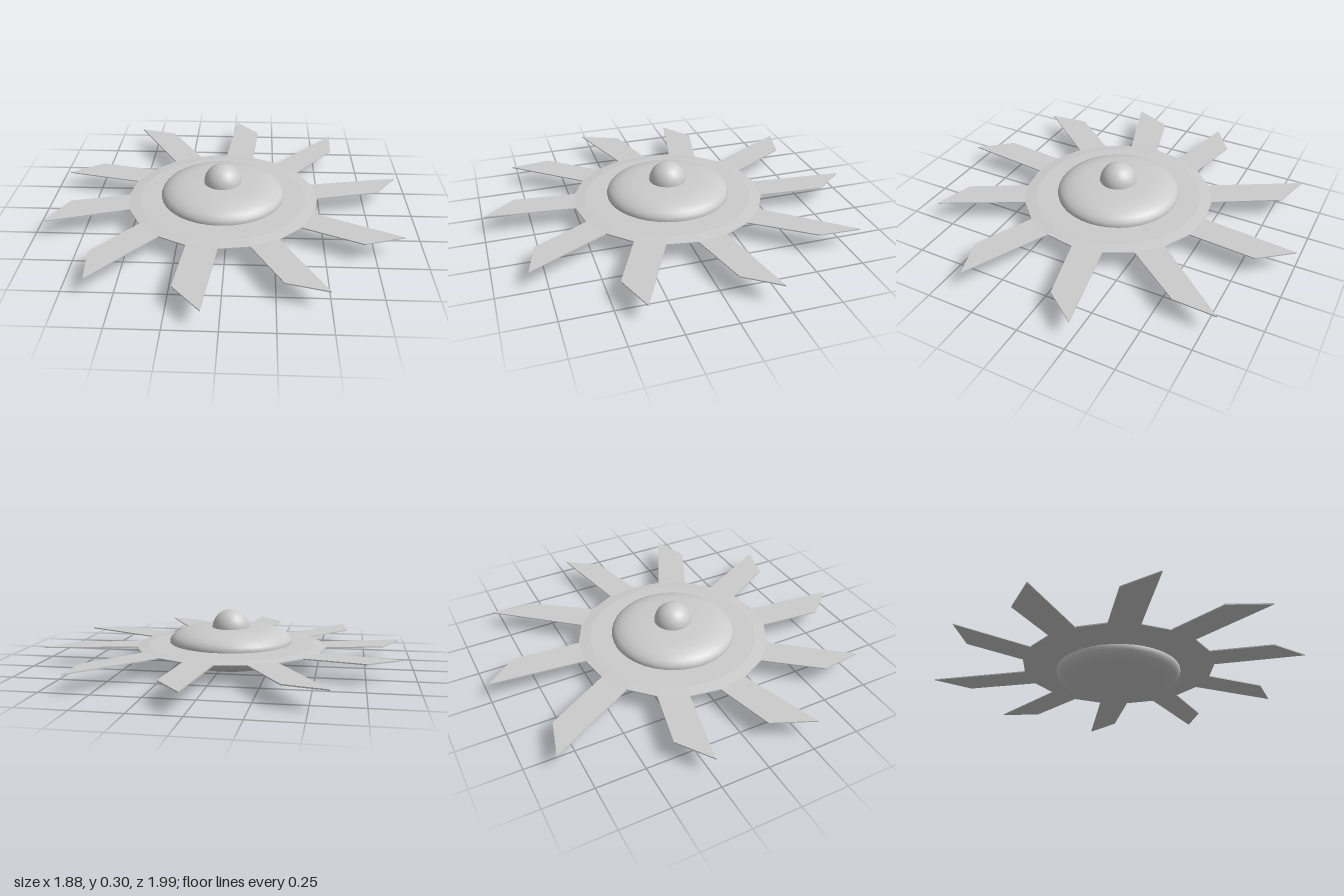
import * as THREE from 'three';
import { toCreasedNormals } from 'three/addons/utils/BufferGeometryUtils.js';

const CX = -0.03, CZ = 0.01, MID = 0.102, RIM = 0.51;
const grey = new THREE.MeshStandardMaterial({ color: 0xcccccc });
const flatGrey = new THREE.MeshStandardMaterial({ color: 0xcccccc, flatShading: true });

function add(group, name, geometry, material = grey) {
  const mesh = new THREE.Mesh(geometry, material);
  mesh.name = name;
  group.add(mesh);
  return mesh;
}

// Turned part; the profile runs from bottom to top as [radius, y]
function turned(profile, segments) {
  const points = profile.map(([r, y]) => new THREE.Vector2(r, y));
  return toCreasedNormals(new THREE.LatheGeometry(points, segments), 0.7);
}

// Outer corners of each blade: tip x, z, then heel x, z
const bladeEnds = [
  [0.02, -1, 0.155, -0.83], [0.61, -0.805, 0.6, -0.585],
  [0.935, -0.24, 0.81, -0.07], [0.89, 0.38, 0.685, 0.45],
  [0.49, 0.835, 0.285, 0.78], [-0.08, 0.99, -0.22, 0.825],
  [-0.625, 0.785, -0.65, 0.57], [-0.94, 0.305, -0.845, 0.09],
  [-0.925, -0.24, -0.75, -0.36], [-0.59, -0.86, -0.38, -0.805],
];

export function createModel() {
  const model = new THREE.Group();
  model.name = 'bladedSaucer';

  // Central body, turned about its own axis
  const body = new THREE.Group();
  body.name = 'body';
  body.position.set(CX, 0, CZ);
  model.add(body);

  const lowerShell = [
    [0, 0], [0.19, 0], [0.24, 0.007], [0.28, 0.02], [0.31, 0.037],
    [0.325, 0.055], [0.33, 0.07], [0.329, 0.081], [0, 0.081],
  ];
  add(body, 'lowerShell', turned(lowerShell, 40));
  const upperShell = lowerShell.map(([r, y]) => [r, 0.2 - y * 0.96]).reverse();
  add(body, 'upperShell', turned(upperShell, 40));

  const hub = new THREE.CylinderGeometry(0.115, 0.115, 0.05, 32);
  add(body, 'hub', hub).position.y = MID;

  add(body, 'dome', new THREE.SphereGeometry(0.1, 32, 20)).position.y = 0.197;

  // Thin twenty-sided disc, thinned toward its rim
  const disc = [
    [0, -0.01], [0.45, -0.01], [RIM, -0.003], [RIM, 0.003], [0.45, 0.01], [0, 0.01],
  ];
  add(body, 'disc', turned(disc, 20), flatGrey).position.y = MID;

  // Ten blades, each rooted on every second facet of the disc
  const blades = new THREE.Group();
  blades.name = 'blades';
  model.add(blades);
  const rimPoint = (step) => {
    const a = step * Math.PI / 10;
    return [CX + RIM * Math.sin(a), -CZ + RIM * Math.cos(a)];
  };
  bladeEnds.forEach(([tipX, tipZ, heelX, heelZ], i) => {
    const outline = [rimPoint(2 * i), [tipX, -tipZ], [heelX, -heelZ], rimPoint(2 * i + 1)];
    const shape = new THREE.Shape(outline.map(([x, y]) => new THREE.Vector2(x, y)));
    const geometry = new THREE.ExtrudeGeometry(shape, { depth: 0.006, bevelEnabled: false });
    geometry.rotateX(-Math.PI / 2);
    add(blades, `blade${i + 1}`, geometry, flatGrey).position.y = MID - 0.003;
  });

  return model;
}
